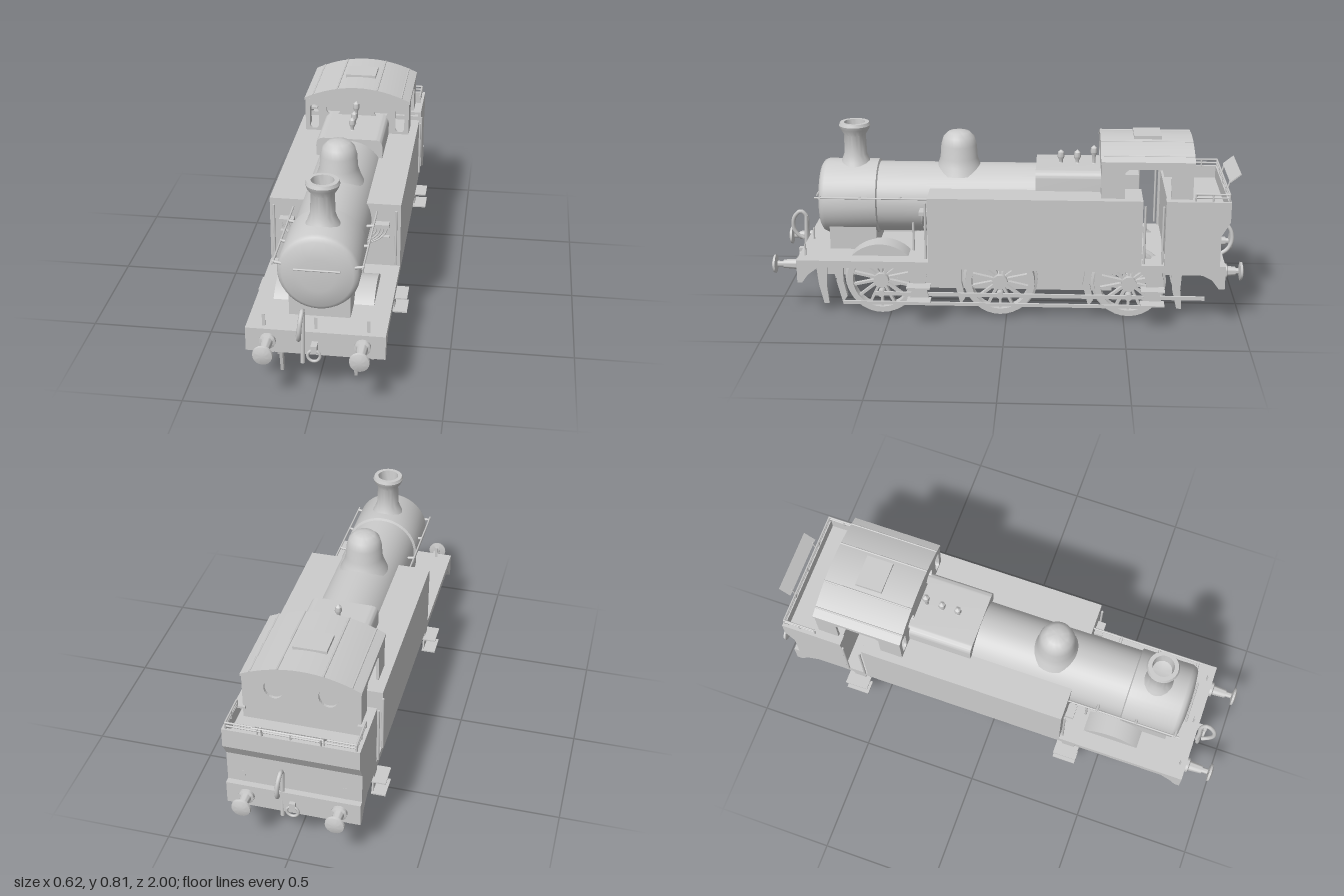
import * as THREE from 'three';
import { toCreasedNormals } from 'three/addons/utils/BufferGeometryUtils.js';

const V = (a) => new THREE.Vector3(...a);
const V2 = (a) => new THREE.Vector2(...a);

export function createModel() {
  const model = new THREE.Group();
  const mat = new THREE.MeshStandardMaterial({ color: 0xcccccc, side: THREE.DoubleSide });

  const add = (name, geo, parent = model) => {
    const mesh = new THREE.Mesh(geo, mat);
    mesh.name = name;
    parent.add(mesh);
    return mesh;
  };
  // Box given by its min and max corners
  const box = (name, x0, x1, y0, y1, z0, z1, parent) =>
    add(name, new THREE.BoxGeometry(Math.abs(x1 - x0), y1 - y0, Math.abs(z1 - z0))
      .translate((x0 + x1) / 2, (y0 + y1) / 2, (z0 + z1) / 2), parent);
  // Straight round bar between two points
  const rod = (name, a, b, r = 0.005, parent = model) => {
    const p = V(a), q = V(b), d = q.clone().sub(p);
    const mesh = add(name, new THREE.CylinderGeometry(r, r, d.length(), 10), parent);
    mesh.position.copy(p).add(q).multiplyScalar(0.5);
    mesh.quaternion.setFromUnitVectors(V([0, 1, 0]), d.normalize());
    return mesh;
  };
  const tube = (name, pts, r = 0.006) =>
    add(name, new THREE.TubeGeometry(new THREE.CatmullRomCurve3(pts.map(V)), 28, r, 8));
  // Turned part: points are (radius, height)
  const lathe = (pts, n = 28) => toCreasedNormals(new THREE.LatheGeometry(pts.map(V2), n), 0.65);
  // Outline in (z, y) extruded across x
  const side = (name, pts, x0, x1) =>
    add(name, toCreasedNormals(new THREE.ExtrudeGeometry(new THREE.Shape(pts.map(V2)),
      { depth: x1 - x0, bevelEnabled: false }).rotateY(-Math.PI / 2).translate(x1, 0, 0), 0.5));
  const roundRect = (path, x0, x1, y0, y1, r) => path
    .moveTo(x0 + r, y0).lineTo(x1 - r, y0).quadraticCurveTo(x1, y0, x1, y0 + r)
    .lineTo(x1, y1 - r).quadraticCurveTo(x1, y1, x1 - r, y1)
    .lineTo(x0 + r, y1).quadraticCurveTo(x0, y1, x0, y1 - r)
    .lineTo(x0, y0 + r).quadraticCurveTo(x0, y0, x0 + r, y0);

  // Footplate with down-curved ends, beams and frame
  side('footplate', [[0.88, 0.275], [0.88, 0.175], [0.86, 0.175], [0.835, 0.21], [0.79, 0.245],
    [-0.8, 0.245], [-0.86, 0.215], [-0.89, 0.175], [-0.915, 0.175], [-0.915, 0.275]], -0.27, 0.27);
  box('frame', -0.13, 0.13, 0.105, 0.25, -0.45, 0.4);
  box('frontStretcher', -0.13, 0.13, 0.16, 0.25, 0.4, 0.8);
  box('rearStretcher', -0.13, 0.13, 0.18, 0.25, -0.85, -0.45);

  // Boiler, smokebox and saddle
  add('boiler', lathe([[0, -0.42], [0.15, -0.42], [0.15, 0.55], [0.16, 0.555], [0.16, 0.775], [0.153, 0.79],
    [0.138, 0.8], [0.07, 0.808], [0, 0.81]], 40).rotateX(Math.PI / 2).translate(0, 0.48, 0));
  box('saddle', -0.12, 0.12, 0.27, 0.38, 0.56, 0.76);
  rod('doorHandle', [-0.09, 0.505, 0.815], [0.09, 0.505, 0.815], 0.004);
  const firebox = new THREE.Shape();
  roundRect(firebox, -0.145, 0.145, 0.28, 0.638, 0.035);
  add('firebox', toCreasedNormals(new THREE.ExtrudeGeometry(firebox, { depth: 0.3, bevelEnabled: false }), 0.5)
    .translate(0, 0, -0.42));

  // Chimney, dome and valves
  add('chimney', lathe([[0.075, 0.61], [0.06, 0.64], [0.049, 0.67], [0.046, 0.755], [0.062, 0.78],
    [0.067, 0.795], [0.062, 0.808], [0.045, 0.808], [0.04, 0.76], [0, 0.75]]).translate(0, 0, 0.655));
  add('dome', lathe([[0.105, 0.595], [0.09, 0.63], [0.08, 0.66], [0.076, 0.715], [0.066, 0.75],
    [0.045, 0.77], [0.02, 0.776], [0, 0.777]]).translate(0, 0, 0.21));
  for (const [z, h] of [[-0.225, 0], [-0.295, 0], [-0.365, 0.02]])
    add('safetyValve', lathe([[0.016, 0.63], [0.008, 0.64], [0.008, 0.65 + h], [0.015, 0.665 + h],
      [0.013, 0.685 + h], [0, 0.697 + h]], 14).translate(0, 0, z));

  // Cab end plates with windows under a curved roof
  const roofY = (x) => 0.757 - 0.057 * (x / 0.235) ** 2;
  const arc = Array.from({ length: 17 }, (_, i) => 0.235 - 0.47 * i / 16).map((x) => [x, roofY(x)]);
  const cabPlate = (name, z, front) => {
    const s = new THREE.Shape([[-0.235, 0.5], [0.235, 0.5], ...arc].map(V2));
    for (const m of [-1, 1]) {
      const eye = new THREE.Path();
      eye.absellipse(m * 0.108, 0.66, front ? 0.032 : 0.04, front ? 0.03 : 0.045, 0, Math.PI * 2);
      s.holes.push(eye);
      if (!front) continue;
      const slot = new THREE.Path();
      roundRect(slot, m * 0.195 - 0.02, m * 0.195 + 0.02, 0.565, 0.678, 0.018);
      s.holes.push(slot);
    }
    add(name, new THREE.ExtrudeGeometry(s, { depth: 0.012, bevelEnabled: false }).translate(0, 0, z));
  };
  cabPlate('cabFrontPlate', -0.405, true);
  cabPlate('cabRearPlate', -0.77, false);
  const lift = (d) => ([x, y]) => [x * 1.015, y + d];
  add('cabRoof', toCreasedNormals(new THREE.ExtrudeGeometry(
    new THREE.Shape([...arc.map(lift(0.012)), ...arc.map(lift(0)).reverse()].map(V2)),
    { depth: 0.385, bevelEnabled: false }), 0.5).translate(0, 0, -0.775));
  box('roofHatch', -0.068, 0.068, 0.755, 0.778, -0.645, -0.53);
  for (const x of [-0.2, -0.09, 0.09, 0.2])
    rod('roofRib', [x, roofY(x) + 0.012, -0.775], [x, roofY(x) + 0.012, -0.39], 0.004);

  // Bunker back, front, coal deck and tilted rear sheet
  side('bunkerBack', [[-0.89, 0.27], [-0.89, 0.41], [-0.925, 0.47], [-0.925, 0.555],
    [-0.913, 0.555], [-0.913, 0.472], [-0.878, 0.412], [-0.878, 0.27]], -0.265, 0.265);
  box('bunkerFront', -0.26, 0.26, 0.27, 0.53, -0.68, -0.67);
  box('bunkerDeck', -0.26, 0.26, 0.49, 0.5, -0.915, -0.67);
  side('rearSheet', [[-0.93, 0.6], [-0.975, 0.637], [-0.978, 0.633], [-0.933, 0.596]], -0.145, 0.13);
  for (const x of [-0.12, 0.11]) rod('sheetPost', [x, 0.55, -0.92], [x, 0.605, -0.935], 0.004);
  for (const y of [0.57, 0.585]) rod('bunkerRail', [-0.255, y, -0.918], [0.255, y, -0.918], 0.004);
  for (const x of [-0.13, 0, 0.13]) rod('railPost', [x, 0.55, -0.918], [x, 0.585, -0.918], 0.004);

  // Spoked wheel, axis along x, outer face towards +x
  const makeWheel = () => {
    const wheel = new THREE.Group();
    wheel.name = 'wheel';
    add('tyre', lathe([[0.122, 0.145], [0.16, 0.145], [0.16, 0.153], [0.149, 0.157], [0.147, 0.19],
      [0.122, 0.19], [0.122, 0.145]], 32).rotateZ(-Math.PI / 2), wheel);
    rod('hub', [0.143, 0, 0], [0.198, 0, 0], 0.033, wheel);
    for (let i = 0; i < 14; i++)
      add('spoke', new THREE.BoxGeometry(0.02, 0.105, 0.011).translate(0.168, 0.076, 0)
        .rotateX(i / 14 * Math.PI * 2), wheel);
    return wheel;
  };
  const axles = [0.535, 0.027, -0.52];
  for (const z of axles) rod('axle', [-0.15, 0.16, z], [0.15, 0.16, z], 0.016);

  // Parts repeated on both sides
  for (const s of [1, -1]) {
    const sideBox = (n, a, b, ...r) => box(n, s * a, s * b, ...r);
    const sideRod = (n, a, b, r) => rod(n, [s * a[0], a[1], a[2]], [s * b[0], b[1], b[2]], r);
    const sideCut = (n, p, a, b) => side(n, p, s > 0 ? a : -b, s > 0 ? b : -a);

    for (const z of axles) {
      const wheel = makeWheel();
      wheel.position.set(0, 0.16, z);
      wheel.rotation.y = s > 0 ? 0 : Math.PI;
      model.add(wheel);
      sideRod('crankPin', [0.17, 0.105, z], [0.21, 0.105, z], 0.015);
      sideCut('brakeShoe', [[z + 0.165, 0.25], [z + 0.18, 0.25], [z + 0.195, 0.15], [z + 0.17, 0.05],
        [z + 0.15, 0.08], [z + 0.165, 0.15]], 0.155, 0.18);
    }
    sideBox('couplingRod', 0.198, 0.208, 0.097, 0.113, -0.84, 0.56);
    sideBox('brakeRod', 0.196, 0.206, 0.054, 0.068, -0.61, 0.7);

    // Side tank, cab side and bunker side
    sideBox('sideTank', 0.1, 0.27, 0.265, 0.555, -0.565, 0.325);
    sideCut('cabSide', [[-0.395, 0.55], [-0.395, 0.71], [-0.77, 0.71], [-0.77, 0.55], [-0.68, 0.55],
      [-0.68, 0.665], [-0.665, 0.68], [-0.505, 0.68], [-0.49, 0.665], [-0.49, 0.55]], 0.223, 0.235);
    sideCut('bunkerSide', [[-0.66, 0.265], [-0.66, 0.555], [-0.925, 0.555], [-0.925, 0.47],
      [-0.89, 0.41], [-0.89, 0.265]], 0.256, 0.27);
    sideBox('bunkerLedge', 0.223, 0.265, 0.545, 0.555, -0.78, -0.66);
    for (const y of [0.57, 0.585]) sideRod('bunkerRail', [0.255, y, -0.78], [0.255, y, -0.918], 0.004);
    for (const z of [-0.78, -0.85, -0.918]) sideRod('railPost', [0.255, 0.55, z], [0.255, 0.585, z], 0.004);

    // Handrails
    for (const z of [-0.575, -0.65]) sideRod('cabHandrail', [0.274, 0.285, z], [0.274, 0.535, z]);
    sideRod('tankHandrail', [0.252, 0.285, 0.335], [0.252, 0.53, 0.335]);
    sideRod('boilerHandrail', [0.172, 0.52, 0.325], [0.172, 0.52, 0.81], 0.004);
    for (const z of [0.45, 0.62, 0.79]) sideRod('railKnob', [0.14, 0.515, z], [0.175, 0.52, z], 0.006);

    // Lubricator box with its fan of pipes
    sideBox('lubricator', 0.166, 0.226, 0.464, 0.48, 0.33, 0.365);
    for (let i = 0; i < 4; i++) {
      const x = 0.175 + i * 0.014;
      tube('oilPipe', [[s * x, 0.465, 0.35], [s * (x - 0.006), 0.44, 0.352],
        [s * (x - 0.028), 0.415, 0.355], [s * 0.13, 0.395 - i * 0.004, 0.355]], 0.003);
    }
    sideBox('tankStep', 0.19, 0.225, 0.41, 0.416, 0.32, 0.345);
    sideRod('boilerPipe', [0.125, 0.27, 0.4], [0.125, 0.4, 0.4], 0.005);

    // Leading splasher
    const arch = Array.from({ length: 15 }, (_, i) => {
      const a = 0.7 + (Math.PI - 1.4) * i / 14;
      return [0.535 + 0.168 * Math.cos(a), 0.158 + 0.168 * Math.sin(a)];
    });
    sideCut('splasher', arch, 0.11, 0.2);

    // Hanging steps, sandbox and guard irons
    for (const z of [0.365, -0.615]) {
      sideBox('stepTop', 0.25, 0.31, 0.168, 0.174, z - 0.05, z + 0.05);
      sideBox('stepTread', 0.25, 0.31, 0.105, 0.111, z - 0.05, z + 0.05);
      sideCut('stepHanger', [[z - 0.04, 0.25], [z - 0.025, 0.18], [z - 0.04, 0.108], [z + 0.04, 0.108],
        [z + 0.025, 0.18], [z + 0.04, 0.25]], 0.25, 0.257);
    }
    sideBox('sandbox', 0.13, 0.19, 0.135, 0.23, -0.25, -0.17);
    sideRod('sandboxCap', [0.16, 0.22, -0.21], [0.16, 0.25, -0.21], 0.02);
    for (const [z, d] of [[0.8, -1], [-0.72, -1]])
      sideCut('guardIron', [[z + 0.025, 0.25], [z - 0.03, 0.25], [z - 0.012 + d * 0.01, 0.12],
        [z + d * 0.03, 0.035], [z + 0.012 + d * 0.02, 0.035], [z + 0.012, 0.12]], 0.14, 0.152);

    // Buffers and lamp irons at both ends
    for (const [e, z, x] of [[1, 0.88, 0.183], [-1, -0.915, 0.187]]) {
      const len = 1 - Math.abs(z);
      const buffer = add('buffer', lathe([[0.032, -0.005], [0.032, 0.012], [0.022, 0.016], [0.018, len * 0.6],
        [0.012, len * 0.6], [0.012, len - 0.022], [0.04, len - 0.016], [0.038, len - 0.007],
        [0.02, len - 0.001], [0, len]], 20).rotateX(e * Math.PI / 2));
      buffer.position.set(s * x, 0.226, z);
      sideBox('lampIron', 0.196, 0.208, 0.27, e > 0 ? 0.325 : 0.33, z - e * 0.03, z - e * 0.024);
    }
  }

  // Brake hose and coupling hook at each end
  for (const [e, z] of [[1, 0.88], [-1, -0.89]]) {
    const x = -e * 0.045, p = (dx, y, d) => [x + e * dx, y, z + e * d];
    tube('brakeHose', [p(-0.02, 0.25, 0.01), p(-0.012, 0.3, 0.012), p(0, 0.365, 0.012), p(0.003, 0.388, 0.035),
      p(0, 0.36, 0.065), p(-0.004, 0.31, 0.072), p(-0.008, 0.275, 0.055), p(-0.014, 0.258, 0.03)], 0.009);
    rod('hosePipe', p(0.002, 0.37, 0.012), p(0, 0.15, 0.02), 0.009);
    box('drawHook', -0.012, 0.012, 0.205, 0.235, z, z + e * 0.04);
    add('couplingLink', new THREE.TorusGeometry(0.024, 0.006, 8, 18).translate(0, 0.192, z + e * 0.034));
    box('centreLampIron', -0.006, 0.006, 0.27, 0.325, z - e * 0.03, z - e * 0.024);
  }
  return model;
}
